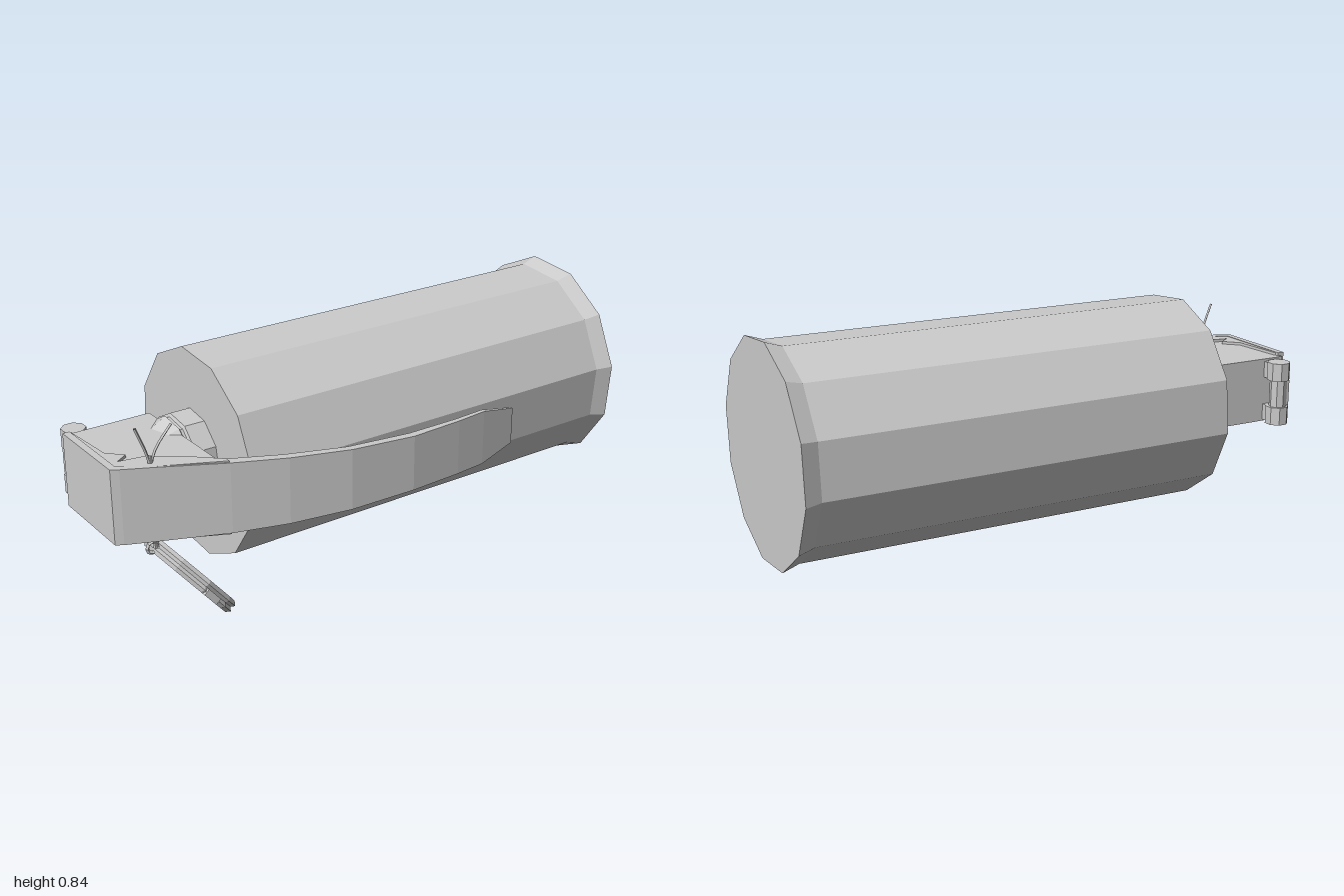
import * as THREE from 'three';

const CX = -0.06, CY = 0.465; // axis of the canister

export function createModel() {
  const root = new THREE.Group();
  root.name = 'canisterWithLever';
  const mat = new THREE.MeshStandardMaterial({ color: 0xcccccc, flatShading: true, side: THREE.DoubleSide });

  const add = (name, geo, x = 0, y = 0, z = 0) => {
    const m = new THREE.Mesh(geo, mat);
    m.name = name;
    m.position.set(x, y, z);
    root.add(m);
    return m;
  };
  // Faceted solid of revolution along z, profile as [radius, z]
  const turned = (profile, sides, twist = 0) =>
    new THREE.LatheGeometry(profile.map(([r, z]) => new THREE.Vector2(r, z)), sides)
      .rotateX(Math.PI / 2).rotateZ(twist);
  // Flat outline given as [x, z], raised from y0 to y1
  const slab = (outline, y0, y1) =>
    new THREE.ExtrudeGeometry(new THREE.Shape(outline.map(([x, z]) => new THREE.Vector2(x, -z))),
      { depth: y1 - y0, bevelEnabled: false }).rotateX(-Math.PI / 2).translate(0, y0, 0);
  const wire = (points, r) => new THREE.TubeGeometry(
    new THREE.CatmullRomCurve3(points.map(p => new THREE.Vector3(...p))), 6, r, 4);

  // Canister with flared base
  add('canister', turned([[0, -1], [0.39, -1], [0.37, -0.94], [0.37, 0.58], [0, 0.58]], 12, Math.PI / 18), CX, CY);

  // Neck with a groove and a tapered shoulder
  add('neck', turned([[0.157, 0.57], [0.157, 0.655], [0.145, 0.66], [0.145, 0.67], [0.152, 0.675],
    [0.105, 0.765], [0, 0.765]], 10, Math.PI / 18), CX, CY);

  // Fuse head
  add('fuseHead', slab([[-0.2, 0.675], [-0.2, 0.985], [0.13, 0.985], [0.25, 0.675]], 0.345, 0.585));

  add('lever', leverGeometry());

  // Cheek plates of the lever, above and below the head
  const cheek = [[-0.19, 0.99], [-0.17, 0.97], [0.02, 0.955], [0.07, 0.905], [0.1, 0.95], [0.115, 0.86],
    [0.2, 0.745], [0.28, 0.66], [0.3, 0.66], [0.2, 0.87], [0.14, 0.99]];
  for (const [name, y] of [['cheekTop', 0.586], ['cheekBottom', 0.334]]) add(name, slab(cheek, y, y + 0.01));

  // Hinge: pin, two end knuckles with lugs and the centre strap
  add('hingePin', new THREE.CylinderGeometry(0.032, 0.032, 0.22, 8), -0.25, 0.463, 0.935);
  for (const s of [1, -1]) {
    add('hingeKnuckle', new THREE.CylinderGeometry(0.043, 0.043, 0.067, 8).rotateY(Math.PI / 8), -0.247, 0.463 + s * 0.084, 0.935);
    add('hingeLug', new THREE.BoxGeometry(0.05, 0.06, 0.05), -0.21, 0.463 + s * 0.082, 0.93);
  }
  add('hingeStrap', new THREE.BoxGeometry(0.09, 0.095, 0.03), -0.225, 0.463, 0.955);

  // Safety pin: shaft, splayed ends and eye
  const px = 0.168;
  add('safetyPin', new THREE.CylinderGeometry(0.007, 0.007, 0.33, 6), px, 0.455, 0.87);
  add('pinEndFront', wire([[px, 0.59, 0.872], [px, 0.64, 0.885], [px, 0.725, 0.918]], 0.005));
  add('pinEndBack', wire([[px, 0.59, 0.868], [px, 0.64, 0.848], [px, 0.71, 0.79]], 0.005));
  add('pinEye', new THREE.TorusGeometry(0.02, 0.007, 4, 8).rotateY(Math.PI / 2), px, 0.297, 0.88);

  // Pull ring: two coils joined by short end clips
  const ring = new THREE.Group();
  ring.name = 'pullRing';
  ring.position.set(px, 0.157, 0.75);
  ring.rotation.x = 0.69;
  for (const s of [1, -1]) {
    const coil = new THREE.Mesh(new THREE.TorusGeometry(0.173, 0.013, 4, 10).rotateZ(Math.PI / 10), mat);
    coil.name = 'ringCoil';
    coil.position.z = s * 0.011;
    const clip = new THREE.Mesh(new THREE.BoxGeometry(0.014, 0.06, 0.024), mat);
    const a = s > 0 ? 0.1 : 2.45;
    clip.name = 'ringEnd';
    clip.position.set(0.179 * Math.cos(a), 0.179 * Math.sin(a), s * 0.012);
    clip.rotation.z = a;
    ring.add(coil, clip);
  }
  root.add(ring);
  return root;
}

// Lever: thin curved channel, swept through stations
function leverGeometry() {
  // outer x, outer z, inner x, inner z, half width
  const stations = [
    [-0.19, 1.0, -0.19, 0.975, 0.133], [0.145, 1.0, 0.125, 0.975, 0.133], [0.16, 0.975, 0.138, 0.96, 0.133],
    [0.208, 0.87, 0.18, 0.86, 0.131], [0.305, 0.66, 0.272, 0.65, 0.125], [0.37, 0.48, 0.337, 0.48, 0.118],
    [0.42, 0.27, 0.392, 0.27, 0.109], [0.44, 0.03, 0.41, 0.03, 0.1], [0.43, -0.17, 0.41, -0.17, 0.1],
    [0.418, -0.29, 0.402, -0.29, 0.1], [0.397, -0.44, 0.387, -0.44, 0.067],
  ];
  const t = 0.012, pos = [], idx = [], n = 8;
  stations.forEach(([ox, oz, ix, iz, h], i) => {
    const k = i < stations.length - 2 ? 0.4 : 0.9; // flanges fade out at the tip
    const mx = ox + (ix - ox) * k, mz = oz + (iz - oz) * k;
    const loop = [[ox, h, oz], [ox, -h, oz], [ix, -h, iz], [ix, t - h, iz],
      [mx, t - h, mz], [mx, h - t, mz], [ix, h - t, iz], [ix, h, iz]];
    for (const [x, y, z] of loop) pos.push(x, CY + y, z);
    if (i === 0) return;
    for (let j = 0; j < n; j++) {
      const a = (i - 1) * n + j, b = (i - 1) * n + (j + 1) % n;
      idx.push(a, b, a + n, b, b + n, a + n);
    }
  });
  const cap = [[0, 1, 4], [0, 4, 5], [1, 2, 3], [1, 3, 4], [0, 5, 6], [0, 6, 7]];
  const last = (stations.length - 1) * n;
  for (const [a, b, c] of cap) idx.push(a, c, b, last + a, last + b, last + c);
  const geo = new THREE.BufferGeometry();
  geo.setAttribute('position', new THREE.Float32BufferAttribute(pos, 3));
  geo.setIndex(idx);
  geo.computeVertexNormals();
  return geo;
}
